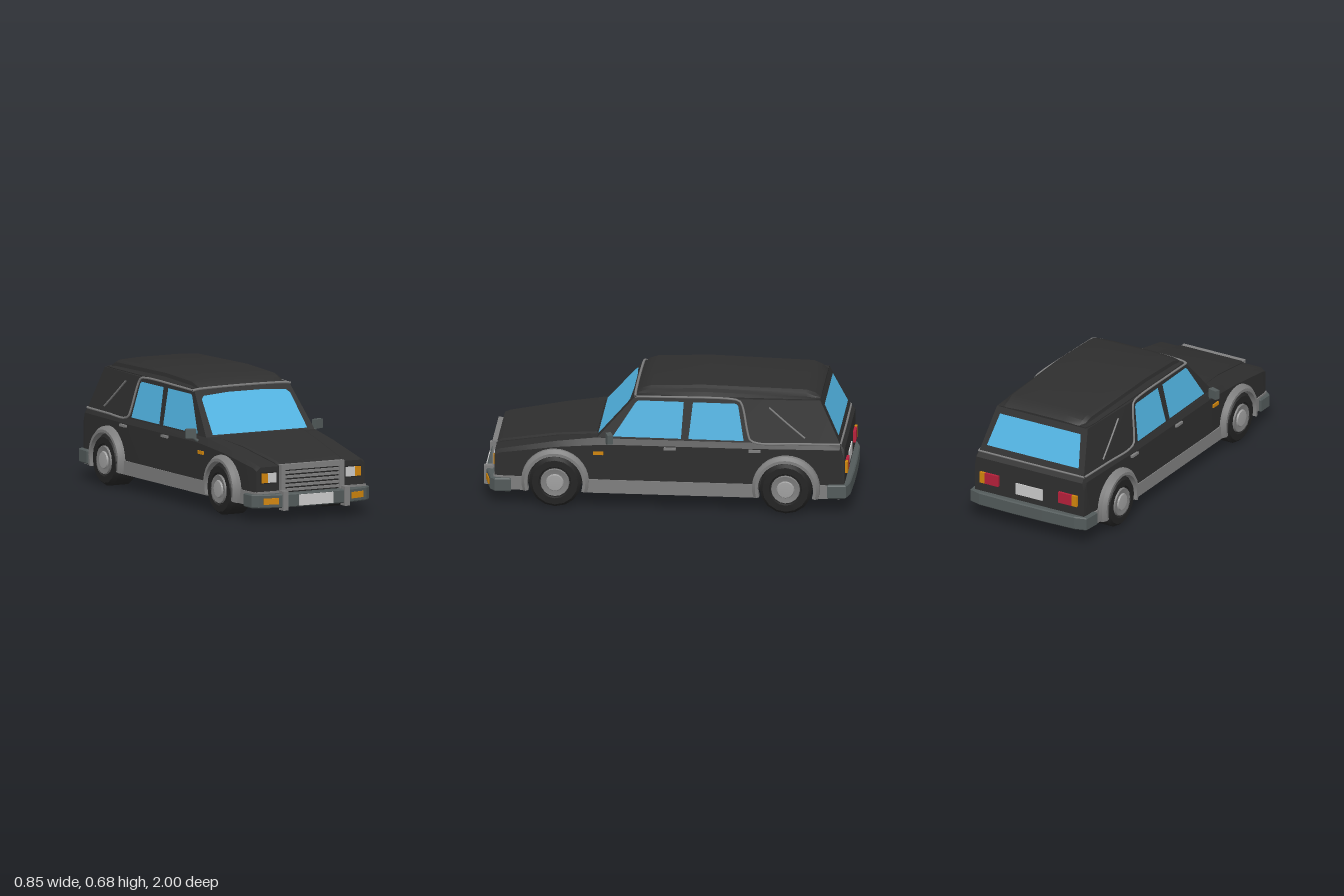
import * as THREE from 'three';
import { toCreasedNormals } from 'three/addons/utils/BufferGeometryUtils.js';

const material = (name, color, side = THREE.FrontSide) => {
  const m = new THREE.MeshStandardMaterial({ color, side });
  m.name = name;
  return m;
};

// Solid through closed rings of [x, y, z]; rings turn counter-clockwise about the loft axis
function loft(rings, crease = 0.45) {
  const n = rings[0].length, index = [];
  for (let i = 0; i + 1 < rings.length; i++) {
    for (let j = 0; j < n; j++) {
      const k = (j + 1) % n, a = i * n, b = a + n;
      index.push(a + j, a + k, b + k, a + j, b + k, b + j);
    }
  }
  const last = (rings.length - 1) * n;
  for (let j = 1; j + 1 < n; j++) index.push(0, j + 1, j, last, last + j, last + j + 1);
  const g = new THREE.BufferGeometry();
  g.setAttribute('position', new THREE.Float32BufferAttribute(rings.flat(2), 3));
  g.setIndex(index);
  return toCreasedNormals(g, crease);
}

// Symmetric ring at z from its right half, listed bottom to top
const ringAt = (z, half) => [
  ...half.map(([x, y]) => [x, y, z]),
  ...half.slice().reverse().map(([x, y]) => [-x, y, z]),
];

// Body rows: z, side half-width, shoulder height, deck half-width, deck height
const BODY = [
  [-0.965, 0.345, 0.30, 0.335, 0.36], [-0.94, 0.348, 0.36, 0.33, 0.39],
  [-0.42, 0.365, 0.36, 0.35, 0.39], [0.3, 0.363, 0.36, 0.345, 0.39],
  [0.38, 0.36, 0.355, 0.335, 0.39], [0.6, 0.353, 0.335, 0.325, 0.36],
  [0.9, 0.34, 0.29, 0.315, 0.305], [0.93, 0.335, 0.275, 0.31, 0.295],
];
function bodyAt(z) {
  let i = 0;
  while (i < BODY.length - 2 && z > BODY[i + 1][0]) i++;
  const t = (z - BODY[i][0]) / (BODY[i + 1][0] - BODY[i][0]);
  return BODY[i].map((v, k) => THREE.MathUtils.lerp(v, BODY[i + 1][k], t));
}

// Outer face of the cabin side
const sideX = (z, y) =>
  0.35 + (z > -0.42 ? -0.01875 : 0.0385) * (z + 0.42) - 0.045 * (y - 0.39) / 0.23;

const SILL = 0.085, AXLE_Y = 0.142, WHEELS = [-0.65, 0.6];

export function createModel() {
  const car = new THREE.Group();
  car.name = 'car';
  const black = material('black paint', 0x2e2e2e);
  const glass = material('blue glass', 0x50b2e0, THREE.DoubleSide);
  const trim = material('grey trim', 0x7e7e7e, THREE.DoubleSide);
  const slate = material('slate bumper', 0x525a5a);
  const rubber = material('tyre rubber', 0x232323);
  const pale = material('pale grey', 0xcacaca);
  const hubGrey = material('hub grey', 0xa0a0a0);
  const amber = material('amber lens', 0xd0850c);
  const red = material('red lens', 0xb4203a);

  const add = (name, geometry, mat) => {
    const m = new THREE.Mesh(geometry, mat);
    m.name = name;
    car.add(m);
    return m;
  };
  const box = (name, mat, w, h, d, x, y, z) => {
    const m = add(name, new THREE.BoxGeometry(w, h, d), mat);
    m.position.set(x, y, z);
    return m;
  };
  const tube = (name, mat, pts, r = 0.006) => add(name, new THREE.TubeGeometry(
    new THREE.CatmullRomCurve3(pts.map(p => new THREE.Vector3(...p))), pts.length * 6, r, 6), mat);
  const pane = (name, pts, place) => {
    const g = new THREE.ShapeGeometry(new THREE.Shape(pts.map(p => new THREE.Vector2(...p))));
    const p = g.attributes.position;
    for (let i = 0; i < p.count; i++) p.setXYZ(i, ...place(p.getX(i), p.getY(i)));
    g.computeVertexNormals();
    return add(name, g, glass);
  };

  // Body with open wheel arches
  const stations = [];
  const arch = c => {
    stations.push([c - 0.155, SILL]);
    for (let i = 0; i <= 12; i++) {
      const a = Math.PI * (1 - i / 12);
      stations.push([c + 0.155 * Math.cos(a), AXLE_Y + 0.155 * Math.sin(a)]);
    }
    stations.push([c + 0.155, SILL]);
  };
  stations.push([-0.965, SILL], [-0.94, SILL]);
  arch(WHEELS[0]);
  stations.push([-0.42, SILL], [0.3, SILL], [0.38, SILL]);
  arch(WHEELS[1]);
  stations.push([0.9, SILL], [0.93, SILL]);
  add('body', loft(stations.map(([z, yb]) => {
    const [, w, ys, wd, yd] = bodyAt(z);
    return ringAt(z, [[w, yb], [w, ys], [wd, yd]]);
  })), black);
  box('underbody', black, 0.46, 0.21, 1.84, 0, 0.192, -0.02);

  // Raised bonnet panel
  add('bonnet', loft([[0.38, 0.27, 0.398], [0.6, 0.235, 0.372], [0.9, 0.205, 0.318], [0.932, 0.2, 0.303]]
    .map(([z, w, h]) => ringAt(z, [[w, h - 0.03], [w, h - 0.008], [w - 0.014, h]]))), black);

  // Cabin, lofted upward
  const cabinRing = (y, pts) => [
    ...pts.map(([x, z]) => [x, y, z]), ...pts.slice().reverse().map(([x, z]) => [-x, y, z])];
  add('cabin', loft([
    cabinRing(0.39, [[0.335, 0.375], [0.35, -0.42], [0.33, -0.94]]),
    cabinRing(0.62, [[0.294, 0.17], [0.305, -0.4], [0.287, -0.83]]),
  ], 0.3), black);

  // Tall padded roof
  add('roof', loft([[-0.83, 0.272, 0.632], [-0.80, 0.28, 0.655], [-0.75, 0.285, 0.673], [-0.2, 0.29, 0.685],
    [0.09, 0.29, 0.674], [0.135, 0.288, 0.66], [0.165, 0.285, 0.635]].map(([z, w, h]) => ringAt(z, [
    [w, 0.61], [w, 0.625], [w - 0.022, Math.max(0.626, h - 0.04)],
    [w - 0.026, Math.max(0.627, h - 0.02)], [w - 0.045, h - 0.007], [0.13, h - 0.001]]))), black);

  // Windscreen and rear window
  const mirrored = half => [...half, ...half.slice().reverse().map(([x, y]) => [-x, y])];
  pane('windscreen', mirrored([[0.292, 0.4], [0.273, 0.575], [0.255, 0.59], [0.1, 0.6]]),
    (x, y) => [x, y, 0.381 - 0.205 * (y - 0.39) / 0.23]);
  pane('rearWindow', mirrored([[0.29, 0.425], [0.255, 0.59]]),
    (x, y) => [x, y, -0.946 + 0.11 * (y - 0.39) / 0.23]);

  for (const s of [-1, 1]) {
    const side = s > 0 ? 'left' : 'right';
    const on = (z, y, off = 0.004) => [s * (sideX(z, y) + off), y, z];

    // Side windows
    const place = (z, y) => on(z, y, 0.005);
    pane(side + 'FrontWindow', [[0.29, 0.4], [0.17, 0.585], [0.155, 0.598], [-0.092, 0.598], [-0.08, 0.4]], place);
    pane(side + 'RearWindow', [[-0.12, 0.4], [-0.142, 0.598], [-0.375, 0.598], [-0.388, 0.585], [-0.42, 0.4]], place);

    // Roof rail falling into the belt line, and the diagonal quarter bar
    tube(side + 'RailTrim', trim, [on(0.165, 0.618), on(0, 0.621), on(-0.36, 0.621), on(-0.398, 0.61), on(-0.44, 0.45),
      on(-0.455, 0.405), on(-0.5, 0.388), on(-0.7, 0.388), on(-0.94, 0.388)]);
    tube(side + 'QuarterBar', trim, [on(-0.555, 0.58), on(-0.65, 0.5), on(-0.75, 0.42)], 0.005);

    // Sill strips between the arches
    for (const [z0, z1] of [[-0.94, -0.81], [-0.49, 0.44], [0.76, 0.925]]) {
      const w0 = bodyAt(z0)[1], w1 = bodyAt(z1)[1];
      const strip = box(side + 'SillStrip', trim, 0.016, 0.076, z1 - z0, s * (w0 + w1) / 2, 0.122, (z0 + z1) / 2);
      strip.rotation.y = s * Math.atan2(w1 - w0, z1 - z0);
    }

    // Wheels and arch flares
    for (const c of WHEELS) {
      const wide = c < 0 ? 0.01 : 0;
      const turned = (name, mat, pts, start = 0, sweep = Math.PI * 2, seg = 16) => {
        const g = new THREE.LatheGeometry(pts.map(p => new THREE.Vector2(...p)), seg, start, sweep);
        g.rotateZ(-Math.PI / 2);
        const m = add(name, toCreasedNormals(g, 0.45), mat);
        m.position.set(s * wide, AXLE_Y, c);
        m.rotation.y = s > 0 ? 0 : Math.PI;
      };
      turned(side + 'Tyre', rubber, [[0, 0.24], [0.12, 0.24], [0.142, 0.26], [0.142, 0.362], [0.125, 0.383], [0.09, 0.384], [0.085, 0.376], [0, 0.376]]);
      turned(side + 'WheelRim', trim, [[0.08, 0.374], [0.076, 0.387], [0.05, 0.382], [0, 0.382]]);
      turned(side + 'HubCap', hubGrey, [[0.05, 0.38], [0.044, 0.39], [0, 0.393]]);
      turned(side + 'ArchFlare', trim, [[0.185, 0.34], [0.183, 0.368], [0.166, 0.388], [0.15, 0.388], [0.15, 0.34]],
        Math.PI - 0.31, Math.PI + 0.62, 20);
    }

    // Door mirror, handles and side marker
    const mirror = box(side + 'Mirror', slate, 0.056, 0.05, 0.03, s * 0.392, 0.407, 0.305);
    mirror.rotation.y = s * 0.3;
    tube(side + 'MirrorStem', slate, [[s * 0.34, 0.362, 0.325], [s * 0.36, 0.37, 0.318], [s * 0.385, 0.392, 0.308]], 0.009);
    for (const z of [-0.022, -0.48]) box(side + 'DoorHandle', trim, 0.02, 0.013, 0.065, s * 0.367, 0.349, z);
    box(side + 'SideMarker', amber, 0.014, 0.018, 0.055, s * 0.362, 0.31, 0.367);

    // Headlamps, fog lamps and tail lamps
    box(side + 'LampBezel', rubber, 0.1, 0.064, 0.012, s * 0.26, 0.236, 0.928);
    box(side + 'Headlamp', pale, 0.055, 0.052, 0.02, s * 0.2425, 0.236, 0.93);
    box(side + 'TurnLamp', amber, 0.035, 0.052, 0.024, s * 0.2875, 0.236, 0.928);
    const fog = box(side + 'FogLamp', amber, 0.085, 0.034, 0.016, s * 0.265, 0.113, 0.968);
    fog.rotation.y = s * 0.227;
    box(side + 'TailLamp', red, 0.085, 0.062, 0.024, s * 0.2325, 0.25, -0.968);
    box(side + 'RearTurnLamp', amber, 0.032, 0.062, 0.024, s * 0.291, 0.25, -0.968);
    box(side + 'Overrider', trim, 0.03, 0.105, 0.05, s * 0.19, 0.113, 0.975);
    box(side + 'GrillePost', trim, 0.027, 0.155, 0.03, s * 0.1815, 0.227, 0.94);
  }

  // Front and rear cross trim
  tube('windscreenTrim', trim, [[-0.3, 0.618, 0.168], [-0.28, 0.623, 0.172], [-0.14, 0.628, 0.175], [0.14, 0.628, 0.175],
    [0.28, 0.623, 0.172], [0.3, 0.618, 0.168]], 0.007);
  tube('rearBeltTrim', trim, [[-0.334, 0.388, -0.943], [0, 0.388, -0.945], [0.334, 0.388, -0.943]]);

  // Grille
  box('grilleBack', rubber, 0.34, 0.13, 0.012, 0, 0.215, 0.93);
  box('grilleTop', trim, 0.39, 0.03, 0.03, 0, 0.29, 0.94);
  for (let i = 0; i < 5; i++) box('grilleSlat', trim, 0.338, 0.014, 0.02, 0, 0.165 + i * 0.0235, 0.938);
  box('frontLip', trim, 0.676, 0.012, 0.02, 0, 0.156, 0.926);

  // Wrap-around bumpers, extruded upward from their plan
  const bumper = (name, half, y, h) => {
    const shape = new THREE.Shape(mirrored(half).map(([x, z]) => new THREE.Vector2(x, -z)));
    const g = new THREE.ExtrudeGeometry(shape, {
      depth: h - 0.012, bevelSize: 0.006, bevelThickness: 0.006, bevelSegments: 1 });
    g.rotateX(-Math.PI / 2);
    add(name, g, slate).position.y = y + 0.006;
  };
  bumper('frontBumper', [[0.1, 0.984], [0.2, 0.98], [0.33, 0.95], [0.358, 0.925], [0.358, 0.846], [0.336, 0.846], [0.33, 0.92], [0.1, 0.92]], 0.075, 0.075);
  bumper('rearBumper', [[0.1, -0.994], [0.3, -0.988], [0.362, -0.97], [0.37, -0.88], [0.346, -0.88], [0.34, -0.95], [0.1, -0.95]], 0.09, 0.075);

  // Blank number plates
  box('frontPlate', pale, 0.21, 0.06, 0.008, 0, 0.112, 0.992);
  box('rearPlate', pale, 0.17, 0.065, 0.008, 0, 0.232, -0.967);
  return car;
}
